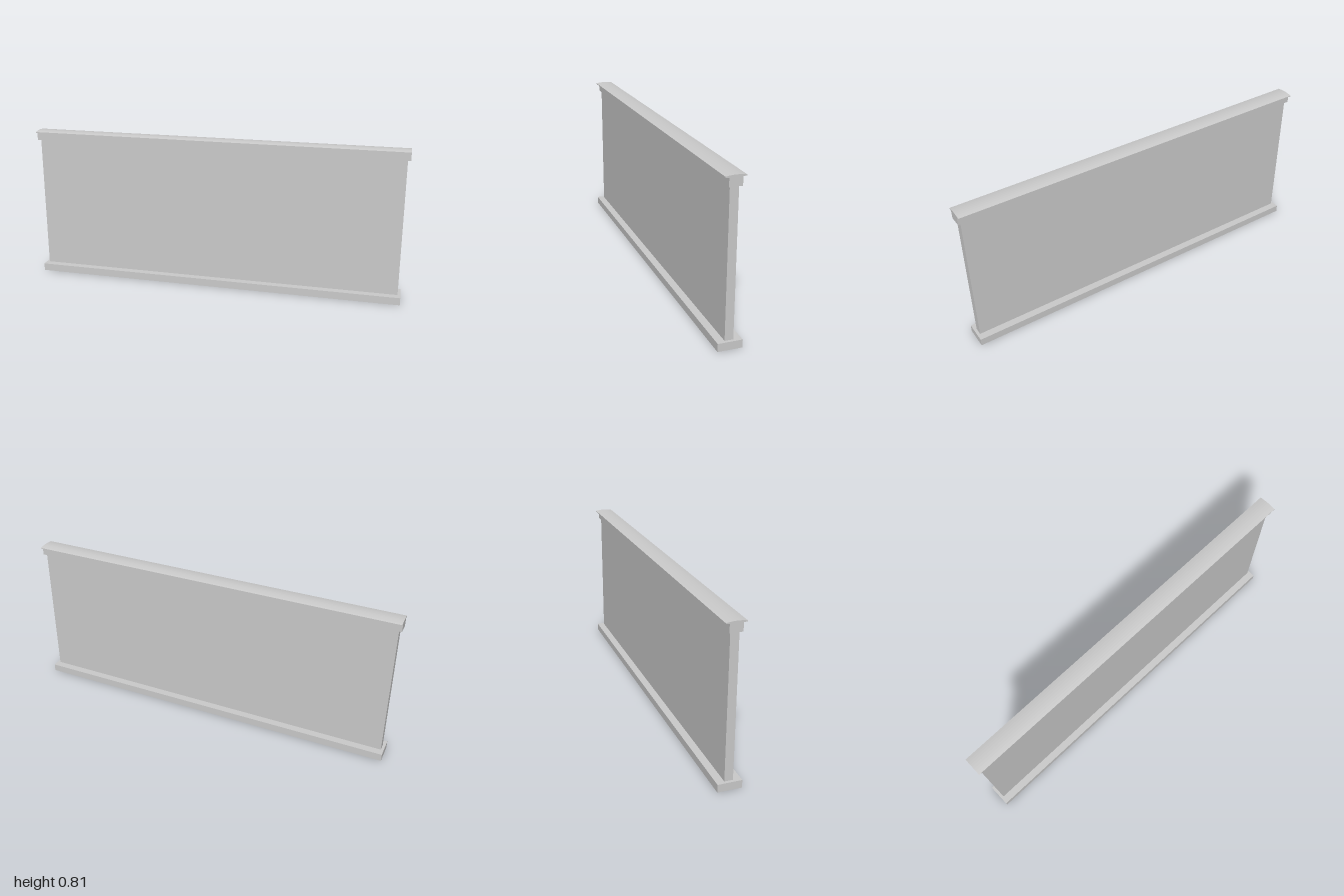
import * as THREE from 'three';

const material = new THREE.MeshStandardMaterial({ color: 0xcccccc, flatShading: true });

function addBox(group, name, width, bottom, top, depth) {
  const mesh = new THREE.Mesh(new THREE.BoxGeometry(width, top - bottom, depth), material);
  mesh.name = name;
  mesh.position.y = (bottom + top) / 2;
  group.add(mesh);
}

export function createModel() {
  const group = new THREE.Group();
  group.name = 'partitionWall';

  // Plinth, thin panel and the rail that carries the cap
  addBox(group, 'basePlinth', 2, 0, 0.04, 0.12);
  addBox(group, 'panel', 1.97, 0.04, 0.76, 0.042);
  addBox(group, 'topRail', 2, 0.76, 0.801, 0.063);

  // Overhanging cap with a shallow crowned top, extruded along the wall
  const half = 0.049, edge = 0.807, crown = 0.812;
  const profile = new THREE.Shape();
  profile.moveTo(-0.031, 0.801);
  profile.lineTo(0.031, 0.801);
  profile.lineTo(half, 0.803);
  const steps = 8;
  for (let i = 0; i <= steps; i++) {
    const t = 1 - (2 * i) / steps;
    profile.lineTo(half * t, edge + (crown - edge) * (1 - t * t));
  }
  profile.lineTo(-half, 0.803);
  profile.closePath();
  const capGeometry = new THREE.ExtrudeGeometry(profile, { depth: 2, bevelEnabled: false });
  capGeometry.translate(0, 0, -1).rotateY(Math.PI / 2);
  const cap = new THREE.Mesh(capGeometry, material);
  cap.name = 'handrailCap';
  group.add(cap);

  return group;
}
